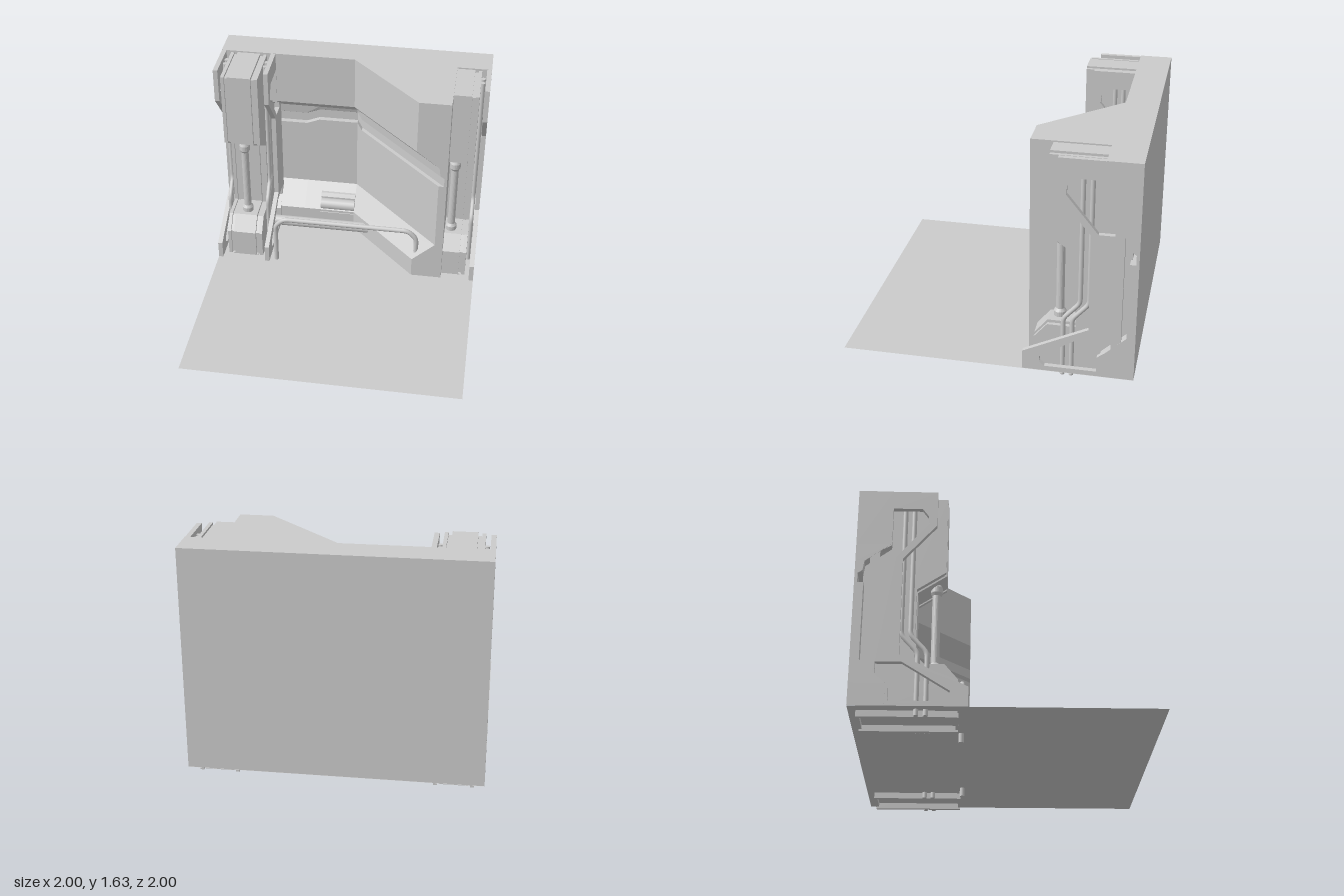
import * as THREE from 'three';

const mat = new THREE.MeshStandardMaterial({ color: 0xcccccc });
const flat = new THREE.MeshStandardMaterial({ color: 0xcccccc, flatShading: true });
const open = new THREE.MeshStandardMaterial({ color: 0xcccccc, side: THREE.DoubleSide });

function add(parent, name, geo, material = flat, x = 0, y = 0, z = 0) {
  const m = new THREE.Mesh(geo, material);
  m.name = name;
  m.position.set(x, y, z);
  parent.add(m);
  return m;
}

// Extrudes a (z, y) outline along x, centred on x = 0
function slab(points, width, holes = []) {
  const toV = (list) => list.map(([z, y]) => new THREE.Vector2(z, y));
  const shape = new THREE.Shape(toV(points));
  holes.forEach((h) => shape.holes.push(new THREE.Path(toV(h))));
  const geo = new THREE.ExtrudeGeometry(shape, { depth: width, bevelEnabled: false });
  return geo.rotateY(-Math.PI / 2).translate(width / 2, 0, 0);
}

// Tube through points, with rounded corners and closed ends
function pipe(parent, name, points, radius, bend) {
  const p = points.map((a) => new THREE.Vector3(...a));
  const path = new THREE.CurvePath();
  let from = p[0];
  for (let i = 1; i < p.length - 1; i++) {
    const a = p[i].clone().add(p[i - 1].clone().sub(p[i]).setLength(bend));
    const b = p[i].clone().add(p[i + 1].clone().sub(p[i]).setLength(bend));
    path.add(new THREE.LineCurve3(from, a));
    path.add(new THREE.QuadraticBezierCurve3(a, p[i], b));
    from = b;
  }
  const last = p[p.length - 1];
  path.add(new THREE.LineCurve3(from, last));
  add(parent, name, new THREE.TubeGeometry(path, 90, radius, 12), open);
  for (const e of [p[0], last])
    add(parent, name + 'Cap', new THREE.CylinderGeometry(radius, radius, 0.004, 12), mat, e.x, e.y, e.z);
}

// Wall with a recessed band and an angled bay: one height profile swept round the plan
function wallGeometry() {
  // [height, recess depth, follows the belt step]
  const rows = [[0.065, 0, 0], [0.22, 0, 0], [0.38, 0.17, 0], [0.93, 0.17, 1], [0.93, 0.21, 1],
    [1.0, 0.21, 1], [1.02, 0.18, 1], [1.09, 0.17, 0], [1.22, 0, 0], [1.63, 0, 0]];
  const back = -0.77, front = -0.25;
  // plan stations: recess -> [x, z, belt step]
  const plan = [
    (d) => [-1, back - d, 0], (d) => [-0.4, back - d, 0], (d) => [-0.3, back - d, 0.04],
    (d) => [0, back - d, 0.04], (d) => [0.04, back - d + 0.04, 0],
    (d) => [0.52 + d, front, 0], () => [0.75, front, 0], (d) => [0.75, back - d, 0],
    (d) => [1, back - d, 0], () => [1, -1, 0], () => [-1, -1, 0]];
  const at = (i, j) => {
    const [y, d, belt] = rows[j];
    const [x, z, step] = plan[i % plan.length](d);
    return [x, y + belt * step, z];
  };
  const pos = [];
  for (let i = 0; i < plan.length; i++)
    for (let j = 0; j < rows.length - 1; j++) {
      const a = at(i, j), b = at(i + 1, j), c = at(i + 1, j + 1), d = at(i, j + 1);
      pos.push(...a, ...b, ...c, ...a, ...c, ...d);
    }
  const geo = new THREE.BufferGeometry();
  geo.setAttribute('position', new THREE.Float32BufferAttribute(pos, 3));
  geo.computeVertexNormals();
  const outline = plan.map((f) => f(0)).map(([x, z]) => new THREE.Vector2(x, -z));
  const top = new THREE.ShapeGeometry(new THREE.Shape(outline)).rotateX(-Math.PI / 2);
  return { geo, top };
}

// Stepped column outline, shrunk by an inset
const columnOutline = (inset, bottom) => [
  [-0.95, bottom], [-0.31 - inset, bottom], [-0.31 - inset, 0.28 - inset / 2],
  [-0.4 - inset, 0.39 - inset], [-0.59 - inset, 0.39 - inset], [-0.59 - inset, 0.92],
  [-0.4 - inset, 1.05], [-0.4 - inset, 1.62 - inset], [-0.95, 1.62 - inset]];

function buildPillar(side) {
  const g = new THREE.Group();
  g.name = side > 0 ? 'leftPillar' : 'rightPillar';
  const cx = side * 0.795;

  // Column core with thin ribs on each flank
  add(g, 'columnCore', slab(columnOutline(0, 0.065), 0.17), flat, cx);
  add(g, 'columnFiller', slab(columnOutline(0.02, 0.065), 0.26), flat, cx);
  for (const s of [-1, 1]) {
    add(g, 'columnRib', slab(columnOutline(0.005, 0.02), 0.025), flat, cx + s * 0.123);
  }
  for (const z of [-0.32, -0.94])
    add(g, 'footBar', new THREE.BoxGeometry(0.2, 0.04, 0.02), flat, cx, 0.05, z);

  // Piston between base and upper housing
  const profile = [[0, 0.38], [0.042, 0.38], [0.042, 0.425], [0.028, 0.445], [0.028, 0.94],
    [0.04, 0.96], [0.04, 1.0], [0.03, 1.02], [0, 1.02]].map(([r, y]) => new THREE.Vector2(r, y));
  add(g, 'piston', new THREE.LatheGeometry(profile, 20), flat, cx, 0, -0.47);

  // Cut-out side plates
  const plate = [[-0.905, 0.065], [-0.25, 0.065], [-0.25, 0.2], [-0.69, 0.415], [-0.69, 1.11],
    [-0.47, 1.37], [-0.47, 1.628], [-0.905, 1.628]];
  const upperHole = [[-0.57, 1.495], [-0.765, 1.495], [-0.765, 1.21], [-0.84, 1.17], [-0.84, 1.12],
    [-0.735, 1.12], [-0.525, 1.38], [-0.53, 1.44]];
  const lowerHole = [[-0.365, 0.17], [-0.67, 0.365], [-0.84, 0.365], [-0.84, 0.28], [-0.75, 0.21],
    [-0.75, 0.1], [-0.4, 0.1], [-0.365, 0.13]];
  for (const x of [0.982, 0.612])
    add(g, 'sidePlate', slab(plate, 0.034, [upperHole, lowerHole]), flat, side * x);

  // Paired conduits beside the column
  for (const x of [0.945, 0.647])
    for (const dz of [0, -0.06]) {
      const X = side * x;
      pipe(g, 'conduit', [[X, 1.6, -0.625 + dz], [X, 0.58, -0.625 + dz],
        [X, 0.455, -0.515 + dz], [X, 0.022, -0.515 + dz]], 0.016, 0.03);
    }
  return g;
}

export function createModel() {
  const root = new THREE.Group();
  root.name = 'wallModule';

  // Floor sheet
  add(root, 'floor', new THREE.PlaneGeometry(2, 2).rotateX(-Math.PI / 2), open, 0, 0.063, 0);

  // Back wall and angled bay
  const wall = wallGeometry();
  add(root, 'wall', wall.geo);
  add(root, 'wallTop', wall.top, flat, 0, 1.63, 0);

  for (const side of [-1, 1]) root.add(buildPillar(side));

  // Guard rail
  pipe(root, 'guardRail', [[-0.545, 0.002, -0.295], [-0.545, 0.39, -0.295], [-0.48, 0.455, -0.295],
    [0.48, 0.455, -0.295], [0.545, 0.39, -0.295], [0.545, 0.002, -0.295]], 0.018, 0.035);

  // Large pipe along the foot of the wall
  add(root, 'footPipe', new THREE.CylinderGeometry(0.04, 0.04, 0.83, 20).rotateZ(Math.PI / 2),
    mat, -0.215, 0.15, -0.675);

  // Drum and its housing on the sloped sill
  const housing = [[-0.95, 0.1], [-0.765, 0.1], [-0.765, 0.2], [-0.84, 0.22], [-0.84, 0.3],
    [-0.86, 0.325], [-0.95, 0.325]];
  add(root, 'drumHousing', slab(housing, 0.275), flat, -0.138);
  add(root, 'drum', new THREE.CylinderGeometry(0.045, 0.045, 0.27, 20).rotateZ(Math.PI / 2),
    mat, -0.135, 0.25, -0.815);

  return root;
}
